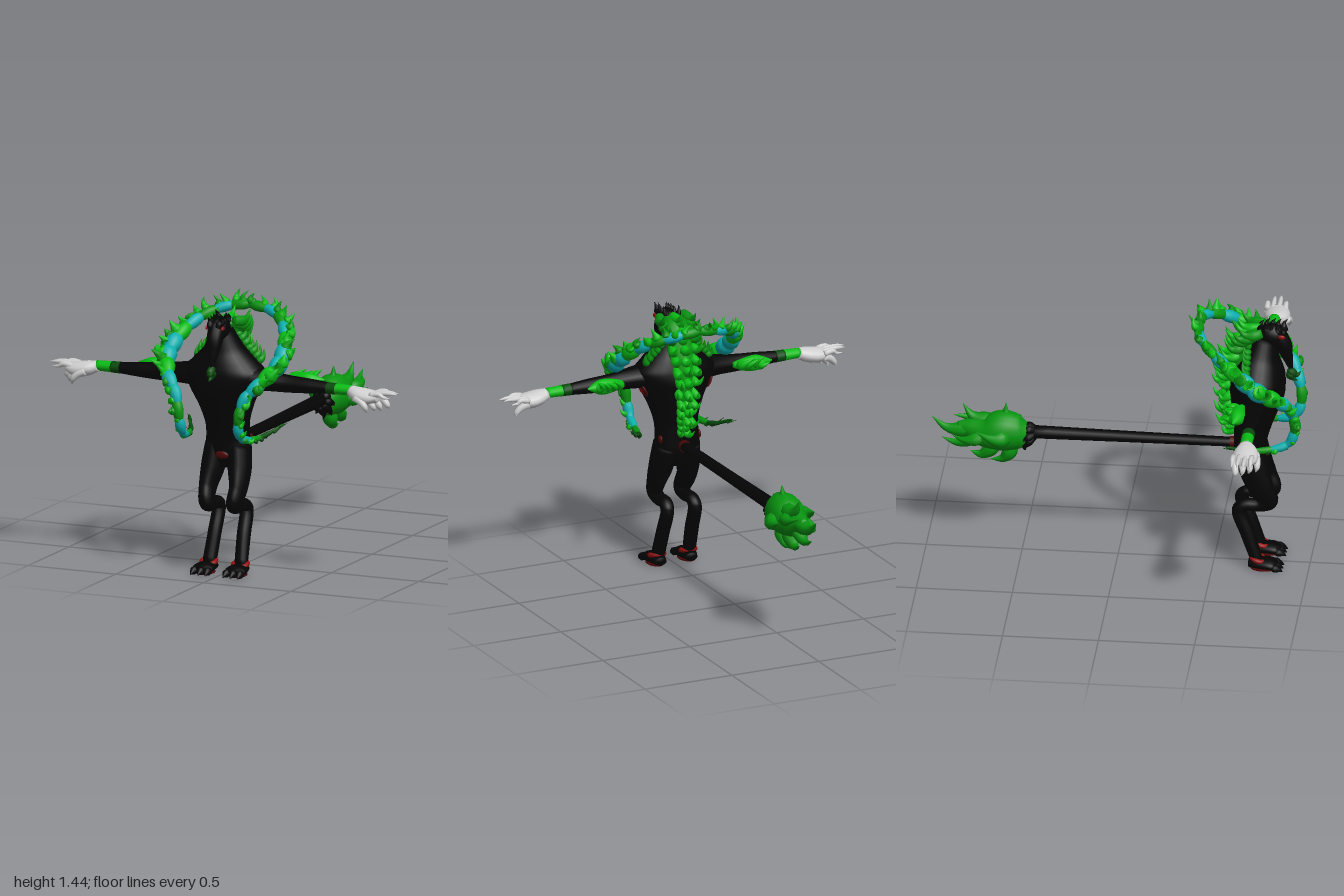
import * as THREE from 'three';
import { mergeGeometries } from 'three/addons/utils/BufferGeometryUtils.js';

const paint = (name, color) => {
  const m = new THREE.MeshStandardMaterial({ color });
  m.name = name;
  return m;
};

// Smooth skin over sections [x, y, z, ra, rb]; ra lies along ref x tangent
function loft(sections, { ref = [0, 0, 1], sides = 14, steps = 6 } = {}) {
  const path = new THREE.CatmullRomCurve3(sections.map(s => new THREE.Vector3(s[0], s[1], s[2])));
  const size = new THREE.CatmullRomCurve3(sections.map((s, i) => new THREE.Vector3(s[3], s[4] ?? s[3], i * 0.05)));
  const n = (sections.length - 1) * steps, pos = [], idx = [];
  let side = new THREE.Vector3(...ref).cross(path.getTangent(0));
  if (side.lengthSq() < 0.01) side.set(0.3, 1, 0.5).cross(path.getTangent(0));
  const up = new THREE.Vector3();
  for (let k = -1; k <= n + 1; k++) {
    const t = Math.min(Math.max(k, 0), n) / n;
    const p = path.getPoint(t), r = size.getPoint(t), T = path.getTangent(t);
    side.addScaledVector(T, -side.dot(T)).normalize();
    up.crossVectors(T, side);
    const open = k < 0 || k > n ? 0 : 1; // end rings collapse into caps
    for (let j = 0; j < sides; j++) {
      const a = j / sides * Math.PI * 2;
      const c = Math.cos(a) * Math.max(r.x, 0) * open, s = Math.sin(a) * Math.max(r.y, 0) * open;
      pos.push(p.x + side.x * c + up.x * s, p.y + side.y * c + up.y * s, p.z + side.z * c + up.z * s);
    }
  }
  for (let i = 0; i < n + 2; i++) for (let j = 0; j < sides; j++) {
    const a = i * sides + j, b = i * sides + (j + 1) % sides;
    idx.push(a, b, a + sides, b, b + sides, a + sides);
  }
  const g = new THREE.BufferGeometry();
  g.setAttribute('position', new THREE.Float32BufferAttribute(pos, 3));
  g.setIndex(idx);
  g.computeVertexNormals();
  return g;
}

// Curling flame tongue from base b along d, its tip hooked by c
function lick(b, d, r, c = [0, 0.02, 0]) {
  const at = (t, k, q) => [0, 1, 2].map(i => b[i] + d[i] * t + c[i] * k).concat(q);
  return loft([at(0, 0, r * 0.8), at(0.35, -0.6, r), at(0.72, -0.5, r * 0.55), at(1, 1, 0.001)],
    { ref: [0.37, 0.51, 0.78], sides: 8, steps: 4 });
}

export function createModel() {
  const model = new THREE.Group();
  const black = paint('black hide', 0x040404), white = paint('white hands', 0xd0d0d0);
  const green = paint('flame green', 0x089410), bright = paint('bright green', 0x08bc14);
  const dark = paint('dark green', 0x064a0a), cyan = paint('cyan', 0x0cb0b0);
  const red = paint('red', 0x921010), maroon = paint('dark red', 0x4c0606);
  const add = (name, geo, mat) => {
    const m = new THREE.Mesh(Array.isArray(geo) ? mergeGeometries(geo) : geo, mat);
    m.name = name;
    model.add(m);
    return m;
  };
  const blob = (r, p) => new THREE.SphereGeometry(1, 18, 12).scale(...r).translate(...p);
  let seed = 7;
  const rnd = () => (seed = (seed * 16807) % 2147483647) / 2147483647;
  const jit = k => (rnd() - 0.5) * 2 * k;

  // Torso and neck
  add('torso', loft([
    [0, 0.56, 0.695, 0.06, 0.05], [0, 0.64, 0.69, 0.125, 0.085], [0, 0.72, 0.69, 0.12, 0.088],
    [0, 0.8, 0.70, 0.12, 0.1], [0, 0.9, 0.712, 0.15, 0.125], [0, 1.0, 0.725, 0.2, 0.145],
    [0, 1.07, 0.73, 0.23, 0.14], [0, 1.13, 0.735, 0.18, 0.125], [0, 1.2, 0.745, 0.11, 0.095],
    [0, 1.3, 0.765, 0.055, 0.06]], { sides: 24 }), black);

  // Head with a drooping snout, crest spikes, eyes and chin tuft
  add('head', blob([0.055, 0.065, 0.075], [0, 1.31, 0.8]), black);
  add('snout', loft([[0, 1.33, 0.82, 0.045, 0.05], [0, 1.26, 0.86, 0.042, 0.045],
    [0, 1.19, 0.882, 0.028, 0.028], [0, 1.12, 0.9, 0.008, 0.01]]), black);
  const crest = [];
  for (let i = 0; i < 5; i++) for (const s of [-1, 1])
    crest.push(lick([s * 0.022, 1.325, 0.75 + i * 0.03], [s * 0.012 + jit(0.01), 0.05 + rnd() * 0.02, -0.005], 0.018, [0, 0.004, 0.012]));
  add('crest', crest, black);
  add('chinTuft', [lick([0, 1.12, 0.89], [0, -0.03, 0.06], 0.022, [0, 0.02, 0]),
    lick([0, 1.1, 0.9], [0, -0.045, 0.02], 0.025, [0, 0, 0.015])], dark);
  for (const s of [-1, 1]) add('eye', blob([0.008, 0.012, 0.018], [s * 0.044, 1.322, 0.855]), red);

  // Mane running down the spine, brighter below the shoulders
  const spine = new THREE.CatmullRomCurve3([[1.35, 0.74], [1.3, 0.67], [1.2, 0.62], [1.08, 0.585],
    [0.95, 0.582], [0.85, 0.595], [0.78, 0.605]].map(([y, z]) => new THREE.Vector3(0, y, z)));
  add('maneCore', loft([[0, 1.34, 0.75, 0.05, 0.03], [0, 1.3, 0.68, 0.065, 0.045], [0, 1.2, 0.64, 0.075, 0.05],
    [0, 1.08, 0.595, 0.05, 0.035], [0, 0.95, 0.59, 0.035, 0.03], [0, 0.78, 0.605, 0.008, 0.01]]), green);
  const mane = [], maneLight = [];
  for (let i = 0; i < 14; i++) {
    const t = i / 13, p = spine.getPoint(t), w = 0.055 * (1 - t) + 0.012;
    for (const s of [-1, 0, 1]) {
      const len = 0.085 + rnd() * 0.04 - t * 0.035;
      (t > 0.3 || !s ? maneLight : mane).push(lick([s * w, p.y, p.z + Math.abs(s) * 0.015],
        [s * 0.025 + jit(0.012), 0.02 - 0.05 * t + jit(0.015), -len], 0.03 - t * 0.01, [jit(0.01), 0.026, 0]));
    }
  }
  for (const s of [-1, 1]) for (let i = 0; i < 7; i++) // fringe over the shoulders
    mane.push(lick([s * (0.04 + i * 0.021), 1.26 - i * 0.022, 0.69], [s * 0.03, 0.03 + rnd() * 0.025, -0.03], 0.019, [s * -0.008, 0.014, 0]));
  add('mane', mane, green);
  add('brightMane', maneLight, bright);

  for (const s of [-1, 1]) {
    // Arm, wristbands and hand
    add('arm', loft([[s * 0.12, 1.05, 0.735, 0.1, 0.07], [s * 0.24, 1.045, 0.74, 0.068, 0.055],
      [s * 0.36, 1.038, 0.74, 0.047, 0.046], [s * 0.48, 1.037, 0.74, 0.041, 0.039],
      [s * 0.6, 1.036, 0.74, 0.032, 0.029]], { ref: [0, 1, 0] }), black);
    add('lowerWristband', loft([[s * 0.59, 1.036, 0.74, 0.034, 0.031], [s * 0.64, 1.036, 0.74, 0.0335, 0.0295]], { ref: [0, 1, 0] }), dark);
    add('wristband', loft([[s * 0.635, 1.036, 0.74, 0.033, 0.029], [s * 0.73, 1.036, 0.74, 0.031, 0.026]], { ref: [0, 1, 0] }), bright);
    add('palm', loft([[s * 0.72, 1.035, 0.74, 0.034, 0.028], [s * 0.77, 1.02, 0.745, 0.062, 0.038],
      [s * 0.83, 1.01, 0.745, 0.067, 0.04], [s * 0.88, 1.018, 0.74, 0.054, 0.026]], { ref: [0, 1, 0] }), white);
    const fingers = [];
    [[0.687, 0.95, 1.02], [0.718, 0.98, 1.035], [0.75, 0.99, 1.035], [0.782, 0.96, 1.02]].forEach(([z, x, y]) =>
      fingers.push(loft([[s * 0.85, 1.028, z, 0.016], [s * 0.9, 1.036, z, 0.013],
        [s * (x - 0.035), y + 0.003, z, 0.01], [s * x, y, z, 0.002]], { ref: [0, 1, 0], sides: 8, steps: 4 })));
    [[0.7, 0.92, 0.95], [0.735, 0.89, 0.94], [0.77, 0.87, 0.945], [0.805, 0.84, 0.94]].forEach(([z, x, y]) =>
      fingers.push(loft([[s * (x - 0.07), 1.01, z - 0.01, 0.021], [s * (x - 0.03), 0.992, z, 0.019],
        [s * (x - 0.005), 0.965, z + 0.003, 0.015], [s * x, y, z - 0.003, 0.003]], { sides: 8, steps: 4 })));
    add('fingers', fingers, white);

    // Elbow flame
    const elbow = [loft([[s * 0.32, 1.05, 0.68, 0.015], [s * 0.38, 1.05, 0.665, 0.035],
      [s * 0.45, 1.05, 0.665, 0.04], [s * 0.53, 1.055, 0.65, 0.004]], { ref: [0, 1, 0] })];
    for (let i = 0; i < 4; i++)
      elbow.push(lick([s * (0.36 + i * 0.04), 1.05, 0.665], [s * (0.02 - i * 0.01), 0.02 + jit(0.02), -0.065], 0.028, [s * 0.025, 0.012, 0]));
    add('elbowFlame', elbow, bright);

    // Armpit and hip marks hugging the body
    for (const [name, r, mat, off] of [['sideMarkRim', 0.046, maroon, 0], ['sideMark', 0.03, red, 0.003]]) {
      const pit = add(name, blob([r, 0.011, r], [0, 0, 0]), mat);
      pit.position.set(s * (0.185 + off), 0.982 - off * 0.5, 0.71);
      pit.rotation.z = -s * 2.03;
    }
    add('hipMark', blob([0.01, 0.022, 0.02], [s * 0.111, 0.715, 0.655]), maroon);

    // Bent hind leg, ankle cuff, foot and claws
    add('leg', loft([[s * 0.065, 0.67, 0.69, 0.08, 0.06], [s * 0.076, 0.56, 0.715, 0.078, 0.06],
      [s * 0.086, 0.46, 0.755, 0.066, 0.045], [s * 0.078, 0.385, 0.79, 0.05, 0.04],
      [s * 0.076, 0.36, 0.745, 0.036, 0.037], [s * 0.077, 0.36, 0.665, 0.032, 0.037],
      [s * 0.079, 0.33, 0.636, 0.036, 0.036], [s * 0.083, 0.2, 0.68, 0.037, 0.036],
      [s * 0.09, 0.05, 0.73, 0.032, 0.037]], { ref: [1, 0, 0], sides: 16 }), black);
    const cuff = add('ankleCuff', new THREE.TorusGeometry(0.037, 0.013, 10, 28), red);
    cuff.position.set(s * 0.09, 0.056, 0.738);
    cuff.rotation.x = Math.PI / 2 + 0.3;
    add('foot', loft([[s * 0.088, 0.028, 0.69, 0.032, 0.022], [s * 0.09, 0.033, 0.74, 0.048, 0.029],
      [s * 0.092, 0.031, 0.8, 0.059, 0.028], [s * 0.092, 0.022, 0.835, 0.05, 0.019]], { ref: [0, 1, 0] }), black);
    add('claws', [-1, 0, 1].map(k => lick([s * 0.092 + k * 0.036, 0.026, 0.81],
      [k * 0.006, -0.018, 0.06], 0.022, [0, -0.003, 0])), black);
    add('solePad', new THREE.CylinderGeometry(1, 1, 1, 20).scale(0.042, 0.006, 0.065).translate(s * 0.091, 0.004, 0.765), maroon);
  }
  add('beltMark', blob([0.038, 0.022, 0.012], [0, 0.633, 0.771]), maroon);

  // Long straight tail ending in a flame
  add('tailRing', new THREE.CylinderGeometry(0.031, 0.031, 0.035, 20).rotateX(Math.PI / 2).translate(0, 0.68, 0.6), maroon);
  add('tail', loft([[0, 0.68, 0.64, 0.03, 0.024], [0, 0.682, 0.1, 0.033, 0.028], [0, 0.685, -0.46, 0.038, 0.034]], { ref: [0, 1, 0], sides: 18 }), black);
  const tuft = [];
  for (let i = 0; i < 8; i++) {
    const a = i / 8 * Math.PI * 2, c = Math.cos(a), s = Math.sin(a);
    tuft.push(lick([c * 0.02, 0.68 + s * 0.025, -0.44], [c * 0.045, s * 0.055 - 0.025, -0.055], 0.025, [0, 0, 0.012]));
  }
  add('tailTuft', tuft, black);
  add('tailFlame', [loft([[0, 0.685, -0.46, 0.04, 0.04], [0, 0.68, -0.51, 0.075, 0.09], [0, 0.685, -0.6, 0.095, 0.11],
    [0, 0.675, -0.69, 0.085, 0.085], [0, 0.69, -0.77, 0.05, 0.055], [0, 0.7, -0.84, 0.02, 0.025]], { ref: [0, 1, 0], sides: 18 }),
    lick([0, 0.74, -0.51], [0.01, 0.065, -0.09], 0.045, [0, 0.035, 0.015]),
    lick([0.02, 0.73, -0.64], [0, 0.055, -0.17], 0.045, [0, 0.035, 0]),
    lick([0, 0.7, -0.74], [0, 0.01, -0.22], 0.042, [0, 0.038, -0.01]),
    lick([0, 0.67, -0.72], [0, -0.07, -0.18], 0.036, [0, 0.032, -0.02]),
    lick([0, 0.63, -0.62], [0, -0.1, -0.14], 0.042, [0, 0.03, -0.01]),
    lick([0, 0.61, -0.55], [0, -0.11, -0.09], 0.04, [0, 0.016, -0.025]),
    lick([-0.06, 0.68, -0.58], [-0.06, 0.02, -0.12], 0.045, [0.015, 0.02, -0.03]),
    lick([0.06, 0.68, -0.61], [0.07, 0, -0.13], 0.045, [-0.01, 0.02, -0.03]),
    lick([0.04, 0.7, -0.7], [0.03, 0.03, -0.14], 0.035, [-0.025, 0.01, -0.02]),
    lick([-0.04, 0.67, -0.7], [-0.02, -0.02, -0.14], 0.035, [0.025, 0.01, -0.02])], green);

  // Floating flame sash: loop behind the head, falling in front, ends trailing back
  const half = [[0.13, 1.345, 0.44], [0.23, 1.3, 0.52], [0.3, 1.22, 0.64], [0.315, 1.13, 0.76], [0.26, 1.05, 0.87],
    [0.195, 0.97, 0.92], [0.17, 0.86, 0.938], [0.165, 0.77, 0.905], [0.18, 0.738, 0.82], [0.21, 0.74, 0.7], [0.27, 0.785, 0.59]];
  const bands = { green: [], bright: [], cyan: [], dark: [], tips: [], brightTips: [] };
  const order = ['green', 'cyan', 'green', 'cyan', 'bright', 'cyan', 'cyan', 'bright', 'cyan', 'cyan', 'green', 'cyan', 'cyan', 'green', 'dark', 'dark'];
  for (const s of [-1, 1]) {
    const curve = new THREE.CatmullRomCurve3([[0, 1.365, 0.42], ...half].map(([x, y, z]) => new THREE.Vector3(s * x, y, z)));
    const radius = t => t < 0.72 ? 0.024 + 0.018 * Math.exp(-(((t - 0.4) / 0.15) ** 2)) : 0.024 - (t - 0.72) * 0.065;
    order.forEach((kind, i) => { // lumpy bands of alternating colour
      const secs = [0, 0.33, 0.67, 1].map((u, k) => {
        const t = Math.min((i + u * 1.25) / order.length, 1), p = curve.getPointAt(t);
        return [p.x, p.y, p.z, radius(t) * [0.8, 1.15, 1.1, 0.8][k]];
      });
      bands[kind].push(loft(secs, { ref: [0.2, 0.6, 0.5], sides: 10, steps: 3 }));
    });
    for (let i = 0; i < 28; i++) { // flame tongues rooted on the outer edge
      const t = (i + 0.5) / 28, p = curve.getPointAt(t), k = t < 0.6 ? 1 : 0.75, r = radius(t);
      const out = new THREE.Vector3(p.x, (p.y - 1.02) * 0.8, (p.z - 0.75) * 0.6).normalize();
      const b = [p.x + out.x * r * 0.5, p.y + out.y * r * 0.4 + r * 0.25, p.z + out.z * r * 0.4];
      const d = [out.x * 0.034 * k + jit(0.025), (out.y * 0.025 + 0.024) * k + jit(0.012), out.z * 0.02 * k + jit(0.025)];
      const list = t > 0.83 ? bands.dark : i % 3 ? bands.brightTips : bands.tips;
      list.push(lick(b, d, r * (0.8 + rnd() * 0.15), [s * jit(0.02), 0.012, jit(0.014)]));
    }
  }
  add('sashGreenBands', bands.green, green);
  add('sashBrightBands', bands.bright, bright);
  add('sashCyanBands', bands.cyan, cyan);
  add('sashTails', bands.dark, dark);
  add('sashFlames', bands.tips, green);
  add('sashBrightFlames', bands.brightTips, bright);
  return model;
}
